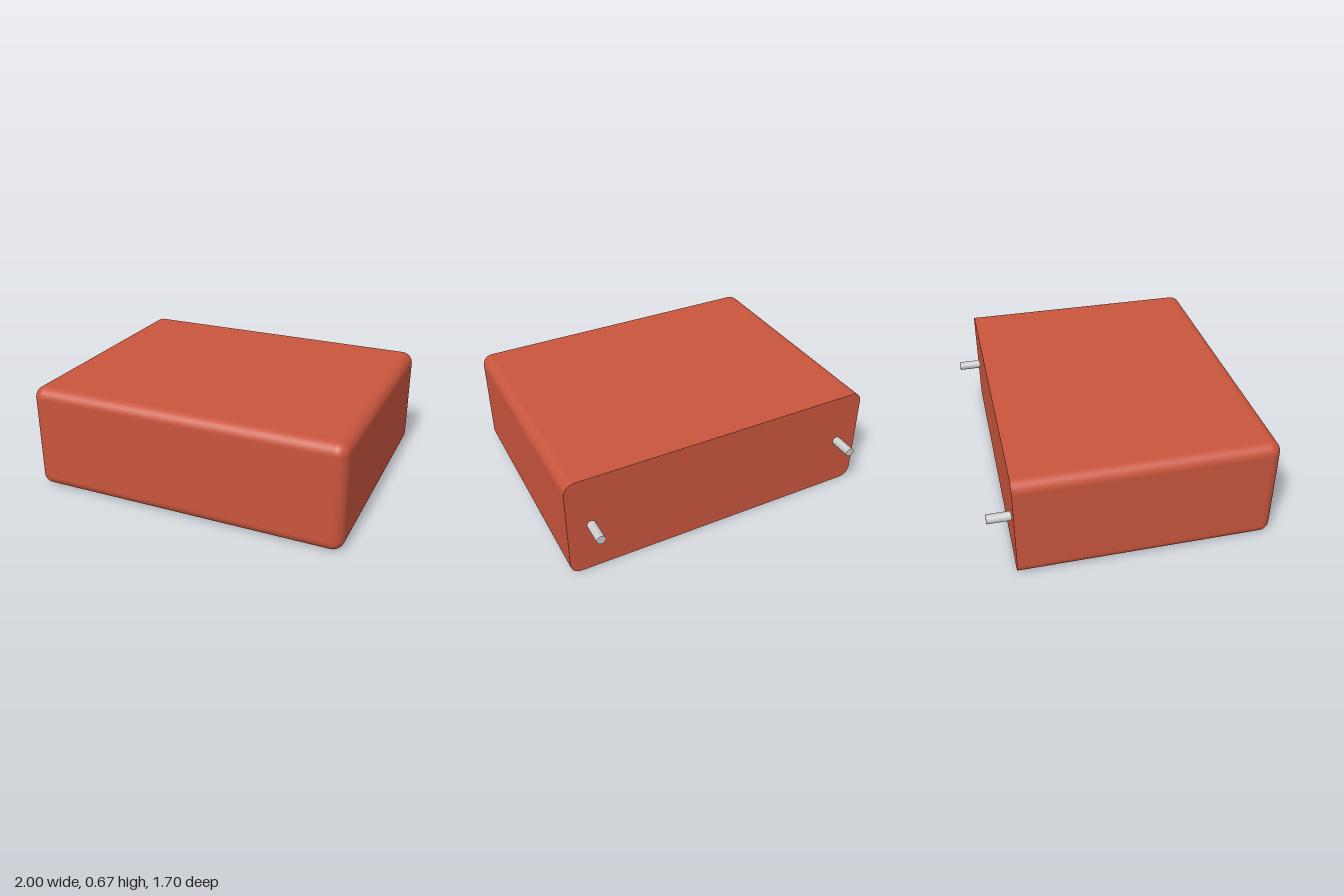
import * as THREE from 'three';
import { mergeGeometries } from 'three/addons/utils/BufferGeometryUtils.js';

const HALF_W = 1, HEIGHT = 0.667, BACK = -0.708, FRONT = 0.85, R = 0.07;
const CX = HALF_W - R, CY = HEIGHT / 2 - R; // corner centres of the section
const STEPS = 10; // segments per quarter round

// Rounded-rectangle section, counter-clockwise: corner centre and outward angle
function sectionPoints() {
  const pts = [];
  const corners = [[1, 1], [-1, 1], [-1, -1], [1, -1]];
  corners.forEach(([sx, sy], q) => {
    for (let k = 0; k <= STEPS; k++) {
      const a = (q + k / STEPS) * Math.PI / 2;
      pts.push({ x: sx * CX, y: sy * CY, c: Math.cos(a), s: Math.sin(a) });
    }
  });
  return pts;
}

// Straight sides from the sharp back edge, then a quarter-round into the front
function shellGeometry() {
  const section = sectionPoints(), n = section.length;
  const layers = [{ z: BACK, t: 0 }];
  for (let k = 0; k <= STEPS; k++) {
    const t = k / STEPS * Math.PI / 2;
    layers.push({ z: FRONT - R + R * Math.sin(t), t });
  }
  const pos = [], nor = [], uv = [], idx = [];
  layers.forEach(({ z, t }, i) => {
    const ct = Math.cos(t);
    section.forEach((p, j) => {
      pos.push(p.x + R * ct * p.c, p.y + R * ct * p.s, z);
      nor.push(ct * p.c, ct * p.s, Math.sin(t));
      uv.push(j / n, i / layers.length);
      if (i === layers.length - 1) return;
      const a = i * n + j, b = i * n + (j + 1) % n;
      idx.push(a, b, b + n, a, b + n, a + n);
    });
  });
  const g = new THREE.BufferGeometry();
  g.setAttribute('position', new THREE.Float32BufferAttribute(pos, 3));
  g.setAttribute('normal', new THREE.Float32BufferAttribute(nor, 3));
  g.setAttribute('uv', new THREE.Float32BufferAttribute(uv, 2));
  g.setIndex(idx);
  return g;
}

export function createModel() {
  const model = new THREE.Group();
  model.name = 'capacitorBlock';

  // Case: shell, flat front panel and flat back panel
  const frontPanel = new THREE.PlaneGeometry(2 * CX, 2 * CY).translate(0, 0, FRONT);
  const outline = sectionPoints().map(p => new THREE.Vector2(p.x + R * p.c, p.y + R * p.s));
  const backPanel = new THREE.ShapeGeometry(new THREE.Shape(outline))
    .rotateY(Math.PI).translate(0, 0, BACK);
  const body = new THREE.Mesh(
    mergeGeometries([shellGeometry(), frontPanel, backPanel]),
    new THREE.MeshStandardMaterial({ color: 0xc8553d })
  );
  body.name = 'case';
  body.position.y = HEIGHT / 2;
  model.add(body);

  // Two terminal pins on the back
  const pinMaterial = new THREE.MeshStandardMaterial({ color: 0xcccccc });
  const pinLength = 0.85 + BACK;
  for (const side of [1, -1]) {
    const pin = new THREE.Mesh(
      new THREE.CylinderGeometry(0.028, 0.028, pinLength, 24).rotateX(Math.PI / 2),
      pinMaterial
    );
    pin.name = side > 0 ? 'leftPin' : 'rightPin';
    pin.position.set(side * 0.853, HEIGHT / 2, BACK - pinLength / 2);
    model.add(pin);
  }
  return model;
}
